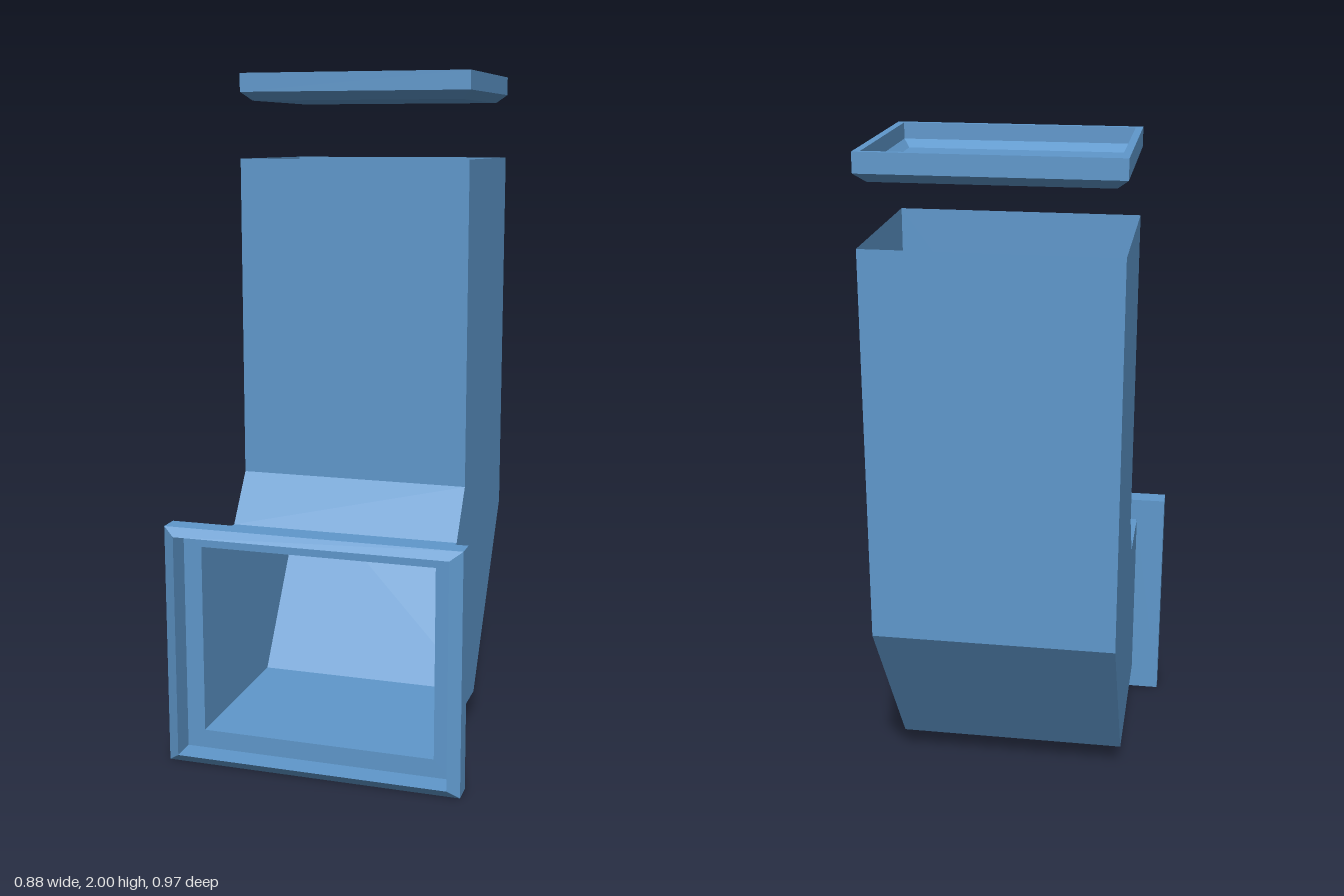
import * as THREE from 'three';

const material = new THREE.MeshStandardMaterial({ color: 0x5f98cc, flatShading: true, side: THREE.DoubleSide });

// Flat-sided skin through four-cornered loops; loops run counter-clockwise
// when looked at against the direction of travel.
function loft(name, loops, { startFace = false, endFace = false } = {}) {
  const positions = [];
  const quad = (a, b, c, d) => positions.push(...a, ...b, ...c, ...a, ...c, ...d);
  for (let k = 0; k < loops.length - 1; k++) {
    for (let i = 0; i < 4; i++) {
      const j = (i + 1) % 4;
      quad(loops[k][i], loops[k][j], loops[k + 1][j], loops[k + 1][i]);
    }
  }
  if (startFace) quad(...[...loops[0]].reverse());
  if (endFace) quad(...loops[loops.length - 1]);
  const geometry = new THREE.BufferGeometry();
  geometry.setAttribute('position', new THREE.Float32BufferAttribute(positions, 3));
  geometry.computeVertexNormals();
  const mesh = new THREE.Mesh(geometry, material);
  mesh.name = name;
  return mesh;
}

// Section of the duct: inner-bend edge and outer-bend edge, each given as (y, z)
const W = 0.35;
const ductLoop = ([y0, z0], [y1, z1]) => [[W, y0, z0], [-W, y0, z0], [-W, y1, z1], [W, y1, z1]];

// Upright rectangle (facing +z) and level rectangle (facing +y)
const uprightLoop = (x, y0, y1, z) => [[-x, y0, z], [x, y0, z], [x, y1, z], [-x, y1, z]];
const levelLoop = (x, z0, z1, y) => [[-x, y, z1], [x, y, z1], [x, y, z0], [-x, y, z0]];

export function createModel() {
  const model = new THREE.Group();
  model.name = 'ventDuct';

  // Open-ended duct: mouth, two bend creases, top opening
  model.add(loft('elbowDuct', [
    ductLoop([0.08, 0.41], [0.645, 0.41]),
    ductLoop([0.08, -0.115], [0.645, 0.155]),
    ductLoop([0.62, -0.477], [0.79, 0.055]),
    ductLoop([1.75, -0.477], [1.75, 0.055]),
  ]));

  // Bevelled frame around the mouth with a recessed back plate
  model.add(loft('mouthFlange', [
    uprightLoop(W, 0.08, 0.645, 0.405),
    uprightLoop(0.44, 0, 0.715, 0.405),
    uprightLoop(0.44, 0, 0.715, 0.465),
    uprightLoop(0.405, 0.025, 0.69, 0.485),
    uprightLoop(0.405, 0.025, 0.69, 0.41),
    uprightLoop(W, 0.08, 0.645, 0.41),
  ]));

  // Floating dish-shaped lid with a bevelled underside
  model.add(loft('topLid', [
    levelLoop(0.32, -0.457, 0.025, 1.92),
    levelLoop(0.35, -0.485, 0.053, 1.945),
    levelLoop(0.35, -0.485, 0.053, 2),
    levelLoop(0.33, -0.469, 0.033, 2),
    levelLoop(0.33, -0.469, 0.033, 1.955),
    levelLoop(0.31, -0.443, 0.003, 1.935),
  ], { startFace: true, endFace: true }));

  return model;
}
